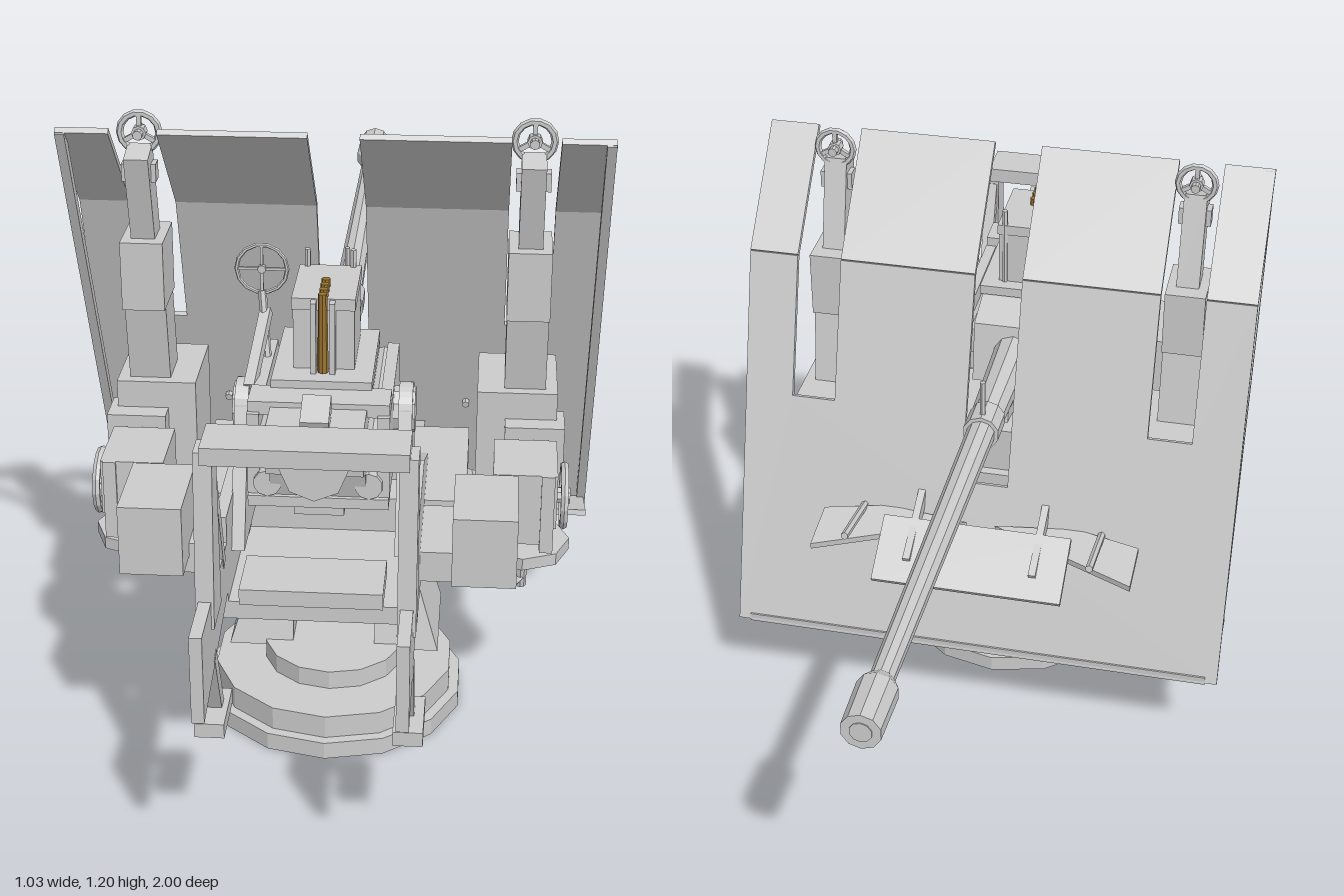
import * as THREE from 'three';

export function createModel() {
  const root = new THREE.Group();
  root.name = 'deckGun';
  const grey = new THREE.MeshStandardMaterial({ color: 0xcccccc, flatShading: true, side: THREE.DoubleSide });
  const brass = new THREE.MeshStandardMaterial({ color: 0x9a7430, flatShading: true });

  const add = (name, geo, x = 0, y = 0, z = 0, mat = grey) => {
    const m = new THREE.Mesh(geo, mat);
    m.name = name;
    m.position.set(x, y, z);
    root.add(m);
    return m;
  };
  // Box given by its extents on each axis
  const box = (name, x0, x1, y0, y1, z0, z1, mat = grey) =>
    add(name, new THREE.BoxGeometry(Math.abs(x1 - x0), y1 - y0, z1 - z0),
      (x0 + x1) / 2, (y0 + y1) / 2, (z0 + z1) / 2, mat);
  // Beam (or tapered rod) running from a to b
  const span = (m, a, b) => {
    const A = new THREE.Vector3(...a), B = new THREE.Vector3(...b);
    m.position.copy(A).add(B).multiplyScalar(0.5);
    m.quaternion.setFromUnitVectors(new THREE.Vector3(0, 1, 0), B.sub(A).normalize());
    return m;
  };
  const dist = (a, b) => Math.hypot(a[0] - b[0], a[1] - b[1], a[2] - b[2]);
  const beam = (name, a, b, w, d) => span(add(name, new THREE.BoxGeometry(w, dist(a, b), d)), a, b);
  const rod = (name, a, b, r0, r1 = r0, n = 10) =>
    span(add(name, new THREE.CylinderGeometry(r1, r0, dist(a, b), n)), a, b);
  const outline = pts => new THREE.Shape(pts.map(p => new THREE.Vector2(...p)));
  const slab = (shape, t) => new THREE.ExtrudeGeometry(shape, { depth: t, bevelEnabled: false, curveSegments: 6 })
    .translate(0, 0, -t / 2);
  // Plate with a (z, y) outline, t thick, centred on x
  const sidePlate = (name, pts, x, t) => add(name, slab(outline(pts), t).rotateY(-Math.PI / 2), x);
  // Spoked handwheel in the xy plane
  const wheel = (name, r, tube, spokes, x, y, z, ry = 0) => {
    const g = new THREE.Group();
    g.name = name;
    g.add(new THREE.Mesh(new THREE.TorusGeometry(r, tube, 6, 14), grey));
    for (let i = 0; i < spokes; i++) {
      const s = new THREE.Mesh(new THREE.BoxGeometry(tube * 1.3, r, tube * 1.3).translate(0, r / 2, 0), grey);
      s.rotation.z = i / spokes * Math.PI * 2;
      g.add(s);
    }
    g.add(new THREE.Mesh(new THREE.CylinderGeometry(tube * 2, tube * 2, tube * 3, 8).rotateX(Math.PI / 2), grey));
    g.position.set(x, y, z);
    g.rotation.y = ry;
    root.add(g);
  };
  const sides = fn => [1, -1].forEach(fn);

  // Stepped round base
  [[0.26, 0, 0.035], [0.24, 0.035, 0.082], [0.14, 0.082, 0.12]].forEach(([r, y0, y1]) =>
    add('baseRing', new THREE.CylinderGeometry(r, r, y1 - y0, 14), 0, (y0 + y1) / 2, 0.28));

  // Carriage body
  box('carriageDeck', -0.26, 0.26, 0.39, 0.5, 0.08, 0.4);
  box('carriageFloor', -0.17, 0.17, 0.395, 0.43, 0.4, 0.68);
  box('rearStep', -0.125, 0.125, 0.49, 0.52, 0.67, 0.79);
  box('gunCradleBase', -0.13, 0.13, 0.5, 0.6, 0.1, 0.32);

  sides(s => {
    // Pedestal leg, tapering upward
    const leg = add('pedestalLeg', new THREE.BoxGeometry(1, 1, 1));
    const p = leg.geometry.attributes.position;
    for (let i = 0; i < p.count; i++) {
      const top = p.getY(i) > 0, outer = p.getX(i) * s > 0, rear = p.getZ(i) > 0;
      p.setXYZ(i, s * (outer ? (top ? 0.12 : 0.21) : 0.082), top ? 0.4 : 0.11, rear ? (top ? 0.24 : 0.31) : 0.085);
    }
    leg.geometry.computeVertexNormals();

    // Long side plate and trunnion bracket
    sidePlate('rearSidePlate', [[1, 0.385], [1, 0.55], [0.68, 0.55], [0.68, 0.6], [0.43, 0.6], [0.2, 0.5],
      [0.2, 0.4], [0.68, 0.4], [0.68, 0.45]], s * 0.17, 0.022);
    const tr = new THREE.Shape();
    tr.moveTo(0.62, 0.5);
    tr.lineTo(0.527, 0.745);
    tr.absarc(0.482, 0.735, 0.045, 0, Math.PI, false);
    tr.lineTo(0.35, 0.5);
    add('trunnionBracket', slab(tr, 0.025).rotateY(-Math.PI / 2), s * 0.148);
    add('trunnionCap', new THREE.CylinderGeometry(0.042, 0.042, 0.05, 10).rotateZ(Math.PI / 2), s * 0.14, 0.73, 0.482);

    // Rear frame upright, brace and footrest
    sidePlate('frameUpright', [[0.89, 0.5], [0.865, 0.82], [0.815, 0.82], [0.8, 0.5]], s * 0.17, 0.032);
    beam('frameBrace', [s * 0.17, 0.79, 0.82], [s * 0.17, 0.53, 0.72], 0.025, 0.022);
    beam('footrestLeg', [s * 0.17, 0.43, 0.86], [s * 0.17, 0.28, 0.79], 0.025, 0.025);
    box('footrestPad', s * 0.147, s * 0.2, 0.26, 0.288, 0.745, 0.86);

    // Crew equipment boxes, seat and side handwheel
    box('rearBox', s * 0.24, s * 0.355, 0.475, 0.61, 0.5, 0.675);
    box('boxBracket', s * 0.16, s * 0.26, 0.44, 0.5, 0.42, 0.6);
    box('sideArm', s * 0.15, s * 0.41, 0.435, 0.47, 0.28, 0.44);
    box('gearBox', s * 0.31, s * 0.43, 0.47, 0.58, 0.29, 0.44);
    box('gearBoxFlange', s * 0.4, s * 0.425, 0.42, 0.58, 0.41, 0.445);
    rod('wheelShaft', [s * 0.42, 0.5, 0.36], [s * 0.45, 0.5, 0.36], 0.015);
    wheel('sideHandwheel', 0.058, 0.008, 3, s * 0.445, 0.5, 0.36, Math.PI / 2);
    add('seat', new THREE.CylinderGeometry(0.09, 0.09, 0.024, 8), s * 0.37, 0.39, 0.35);
    rod('seatPost', [s * 0.37, 0.28, 0.32], [s * 0.37, 0.47, 0.35], 0.012);
    beam('seatStrut', [s * 0.37, 0.29, 0.33], [s * 0.24, 0.4, 0.25], 0.02, 0.02);

    // Sighting column with handwheel on top
    box('columnBox', s * 0.275, s * 0.43, 0.46, 0.655, 0.05, 0.24);
    box('columnBoxRear', s * 0.33, s * 0.445, 0.47, 0.6, 0.2, 0.28);
    beam('columnFoot', [s * 0.367, 0.64, 0.17], [s * 0.367, 0.83, 0.2], 0.08, 0.09);
    box('columnHousing', s * 0.326, s * 0.408, 0.815, 0.952, 0.14, 0.262);
    beam('column', [s * 0.367, 0.93, 0.2], [s * 0.367, 1.13, 0.25], 0.046, 0.06);
    box('columnClamp', s * 0.335, s * 0.4, 1.07, 1.105, 0.22, 0.25);
    wheel('topHandwheel', 0.037, 0.007, 3, s * 0.367, 1.16, 0.225);
    rod('topWheelShaft', [s * 0.367, 1.16, 0.25], [s * 0.367, 1.16, 0.2], 0.009);
    beam('columnShieldArm', [s * 0.4, 0.645, 0.22], [s * 0.4, 0.64, -0.02], 0.025, 0.02);

    // Struts from the deck to the foot of the shield
    [0, 0.04].forEach(d =>
      rod('shieldStrut', [s * (0.22 + d), 0.4, 0.09], [s * (0.34 + d), 0.25, -0.14], 0.012, 0.012, 6));
    beam('shieldArm', [s * 0.15, 0.46, 0.1], [s * 0.15, 0.42, -0.09], 0.03, 0.025);
    // Straight brace behind each shield edge, and lower flap
    beam('shieldEdgeBrace', [s * 0.505, 0.22, -0.15], [s * 0.505, 1.175, 0.28], 0.018, 0.018);
    beam('shieldFlap', [s * 0.375, 0.228, -0.145], [s * 0.375, 0.265, -0.01], 0.27, 0.012);
  });
  box('frameCrossbar', -0.172, 0.172, 0.808, 0.84, 0.795, 0.888);

  // Shield: sloping notched lower plate and four strips bent back at the top
  const half = [[0.515, 0], [0.515, 0.805], [0.415, 0.805], [0.415, 0.51], [0.325, 0.51], [0.325, 0.805],
    [0.048, 0.805], [0.048, 0.37]];
  const notched = outline([...half, ...half.map(([x, y]) => [-x, y]).reverse()]);
  add('shieldLowerPlate', slab(notched, 0.012), 0, 0.215, -0.16).rotation.x = Math.atan2(0.25, 0.765);
  sides(s => [[0.048, 0.325], [0.415, 0.515]].forEach(([a, b]) =>
    beam('shieldUpperPlate', [s * (a + b) / 2, 0.98, 0.09], [s * (a + b) / 2, 1.178, 0.28], b - a, 0.012)));
  box('shieldFootRail', -0.49, 0.49, 0.212, 0.23, -0.165, -0.145);

  // Deflector below the barrel: tilted middle plate, two wings and pins
  beam('deflectorPlate', [0, 0.51, -0.12], [0, 0.435, -0.24], 0.39, 0.012);
  sides(s => {
    const w = add('deflectorWing', slab(outline([[s * 0.03, 0.09], [s * 0.33, 0.21], [s * 0.33, 0.1], [s * 0.2, 0.07]]), 0.014)
      .rotateX(-Math.PI / 2), 0, 0.5, 0);
    w.rotation.x = -0.12;
    rod('deflectorPin', [s * 0.25, 0.49, -0.05], [s * 0.25, 0.53, -0.23], 0.008, 0.008, 6);
    beam('deflectorBracket', [s * 0.13, 0.53, -0.05], [s * 0.13, 0.46, -0.2], 0.015, 0.03);
  });

  // Receiver
  sidePlate('receiver', [[0.7, 0.7], [0.71, 0.79], [0.6, 0.79], [0.55, 0.8], [0.35, 0.8], [0.24, 0.77], [0.22, 0.64],
    [0.4, 0.61], [0.63, 0.62], [0.65, 0.68]], 0, 0.17);
  sides(s => {
    sidePlate('receiverCheek', [[0.63, 0.62], [0.63, 0.78], [0.3, 0.78], [0.24, 0.64], [0.4, 0.61]], s * 0.115, 0.022);
    rod('recoilCylinder', [s * 0.095, 0.72, 0.65], [s * 0.095, 0.72, 0.25], 0.03);
    rod('lowerCylinder', [s * 0.09, 0.65, 0.64], [s * 0.09, 0.65, 0.28], 0.025);
  });
  box('receiverBottomBar', -0.125, 0.125, 0.605, 0.625, 0.58, 0.64);
  box('receiverTopBar', -0.125, 0.125, 0.775, 0.8, 0.55, 0.62);
  box('ejectorChute', -0.045, 0.045, 0.58, 0.63, 0.48, 0.62);
  rod('breechCap', [0, 0.72, 0.66], [0, 0.72, 0.72], 0.06, 0.06, 8);
  beam('breechLatch', [0, 0.79, 0.7], [0, 0.815, 0.64], 0.05, 0.03);

  // Ammunition feed with a stack of rounds
  box('feedBase', -0.09, 0.09, 0.795, 0.815, 0.32, 0.56);
  box('feedBox', -0.055, 0.055, 0.81, 0.93, 0.35, 0.505);
  box('feedLid', -0.057, 0.057, 0.93, 0.952, 0.345, 0.51);
  sides(s => rod('feedGuide', [s * 0.042, 0.8, 0.35], [s * 0.042, 0.985, 0.35], 0.006, 0.006, 6));
  for (let i = 0; i < 4; i++)
    add('round', new THREE.CylinderGeometry(0.008, 0.01, 0.15, 8), 0, 0.892, 0.45 + i * 0.024, brass);
  sides(s => box('roundGuide', s * 0.012, s * 0.022, 0.81, 0.95, 0.505, 0.53));

  // Ring sight on its post
  wheel('ringSight', 0.047, 0.004, 4, -0.127, 0.943, 0.35);
  rod('ringSightPost', [-0.127, 0.9, 0.35], [-0.115, 0.76, 0.38], 0.008, 0.008, 6);
  beam('ringSightArm', [-0.12, 0.86, 0.35], [-0.135, 0.77, 0.5], 0.02, 0.02);

  // Barrel, rising slightly toward the muzzle
  const at = z => [0, 0.717 - z * 0.038, z];
  rod('barrelSleeve', at(0.26), at(-0.03), 0.042, 0.034);
  rod('barrelCollar', at(-0.02), at(-0.085), 0.037, 0.037);
  rod('barrel', at(-0.08), at(-0.9), 0.029, 0.022);
  rod('muzzleCone', at(-0.865), at(-0.89), 0.024, 0.038);
  rod('muzzle', at(-0.89), at(-0.998), 0.038, 0.036);
  rod('muzzleBore', at(-0.99), at(-1), 0.02, 0.02);
  rod('frontSight', [0, 0.73, -0.065], [0, 0.83, -0.065], 0.006, 0.006, 6);
  beam('barrelSupport', [0, 0.65, 0.22], [0, 0.68, 0.04], 0.06, 0.025);

  return root;
}
